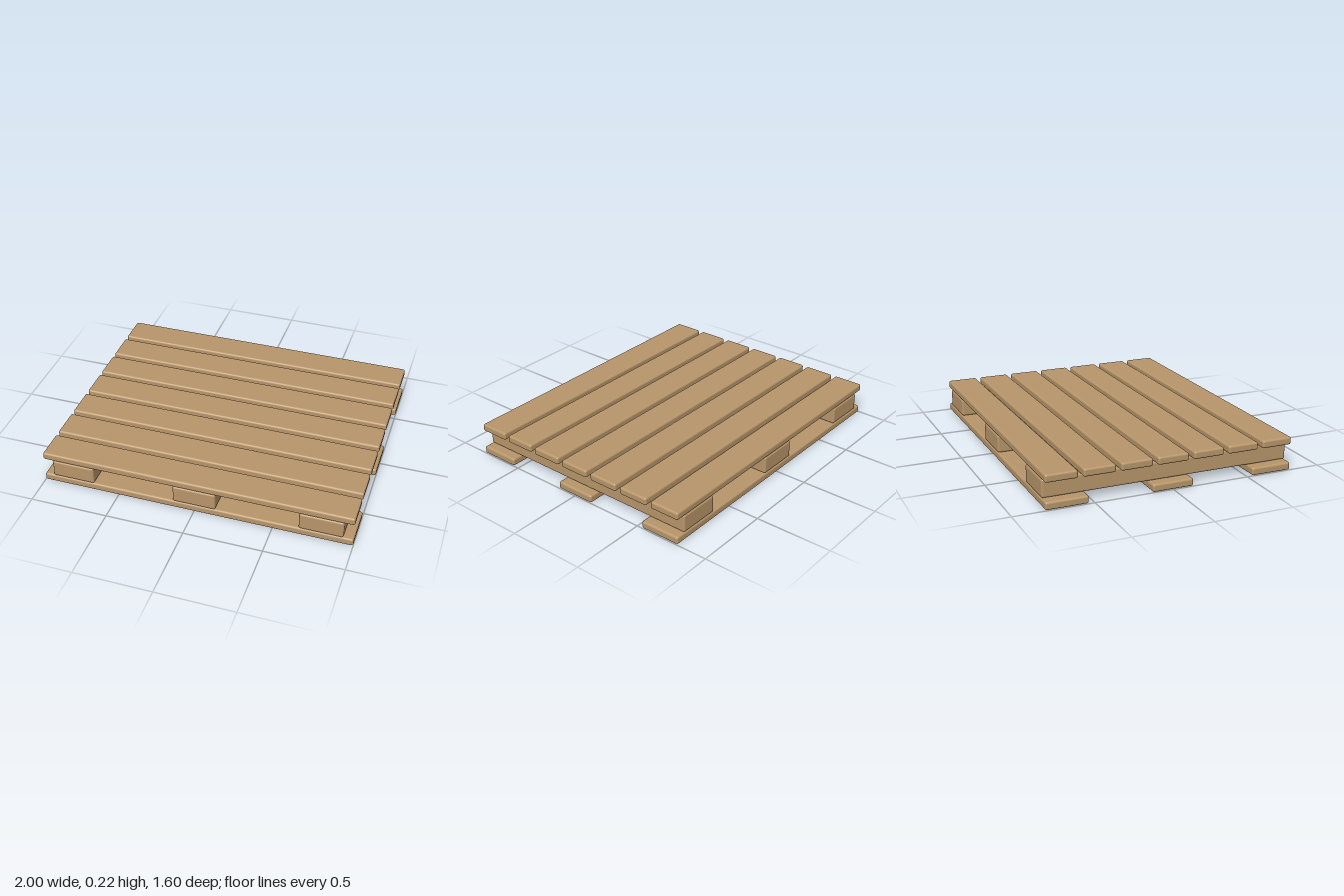
import * as THREE from 'three';
import { RoundedBoxGeometry } from 'three/addons/geometries/RoundedBoxGeometry.js';

export function createModel() {
  const pallet = new THREE.Group();
  pallet.name = 'pallet';

  const wood = new THREE.MeshStandardMaterial({ color: 0xb8966a });
  wood.name = 'wood';

  // Adds evenly spaced copies of one rounded plank along an axis
  function addRow(name, size, y, axis, count, spacing) {
    const geometry = new RoundedBoxGeometry(...size, 4, 0.013);
    const row = new THREE.Group();
    row.name = name + 's';
    for (let i = 0; i < count; i++) {
      const plank = new THREE.Mesh(geometry, wood);
      plank.name = name;
      plank.position.y = y;
      plank.position[axis] = (i - (count - 1) / 2) * spacing;
      row.add(plank);
    }
    pallet.add(row);
  }

  // Deck of seven slats, three thick bearers, three boards on the ground
  addRow('deckBoard', [2, 0.05, 0.2], 0.19, 'z', 7, 0.2333);
  addRow('stringer', [0.275, 0.115, 1.6], 0.1075, 'x', 3, 0.8);
  addRow('bottomBoard', [2, 0.05, 0.265], 0.025, 'z', 3, 0.6675);

  return pallet;
}
